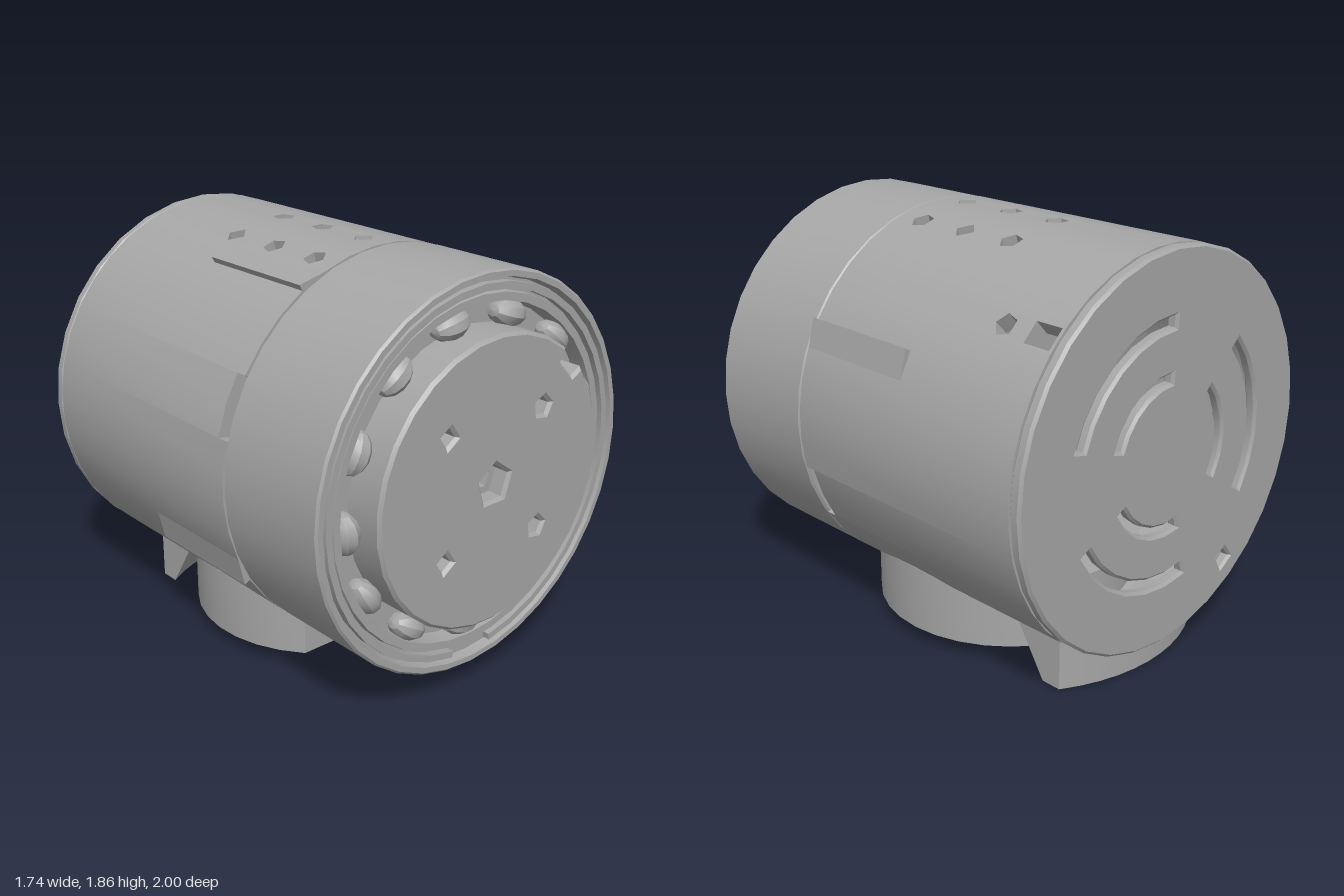
import * as THREE from 'three';
import { toCreasedNormals, mergeGeometries } from 'three/addons/utils/BufferGeometryUtils.js';

const AXIS_Y = 0.99, R = 0.87, DEG = Math.PI / 180;
const polar = (r, deg) => new THREE.Vector2(r * Math.cos(deg * DEG), r * Math.sin(deg * DEG));

// Points along an arc, angles in degrees
function arc(r, from, to, n) {
  return Array.from({ length: n + 1 }, (_, i) => polar(r, from + (to - from) * i / n));
}
// Closed regular polygon around (x, y)
function ngon(x, y, r, sides, start = 90) {
  return arc(r, start, start + 360, sides).slice(0, -1).map(p => p.add(new THREE.Vector2(x, y)));
}
const band = (r0, r1, a, b, n) => [...arc(r1, a, b, n), ...arc(r0, b, a, n)];

function extrude(points, holes, depth, bevel = 0) {
  const shape = new THREE.Shape(points);
  shape.holes = holes.map(h => new THREE.Path(h));
  return new THREE.ExtrudeGeometry(shape, {
    depth: depth - 2 * bevel, bevelEnabled: bevel > 0, bevelSize: bevel,
    bevelThickness: bevel, bevelSegments: 1,
  }).translate(0, 0, bevel);
}

// Drum wall: one flat panel per facet, so that openings can be cut in each
function wallGeometry() {
  const n = 40, step = 360 / n, t = 0.08;
  const flat = R * Math.cos(step / 2 * DEG), half = R * Math.sin(step / 2 * DEG);
  const panels = [];
  for (let i = 0; i < n; i++) {
    const a = i * step, holes = [];
    const front = [153, 162, 333, 342].includes(a) ? 0.28 : 0.33;
    if ([72, 90, 108].includes(a)) {
      [-0.35, -0.08, 0.19].forEach((z, k) => holes.push(ngon(0, z, 0.052, (k + i) % 3 ? 5 : 4)));
    }
    if (a === 252 || a === 288) holes.push(ngon(0, -0.35, 0.06, 6));
    if (a === 45) {
      holes.push(ngon(0, -0.67, 0.052, 5));
      holes.push([[-0.05, -0.93], [0.05, -0.93], [0.05, -0.8], [-0.05, -0.8]].map(p => new THREE.Vector2(...p)));
    }
    const outline = [[-half, -0.945], [half, -0.945], [half, front], [-half, front]];
    const g = extrude(outline.map(p => new THREE.Vector2(...p)), holes, t);
    const pos = g.attributes.position, c = Math.cos(a * DEG), s = Math.sin(a * DEG);
    for (let k = 0; k < pos.count; k++) {
      const rad = flat - t + pos.getZ(k), u = pos.getX(k) * rad / flat;
      pos.setXYZ(k, rad * c - u * s, rad * s + u * c, pos.getY(k));
    }
    panels.push(g);
  }
  return mergeGeometries(panels);
}

// Rear foot: curved lip whose inner face slopes outwards towards the ground
function footGeometry() {
  const n = 10, cz = 0.08;
  const edge = (r, x) => new THREE.Vector2(x, cz + Math.sqrt(r * r - x * x));
  const xs = Array.from({ length: n + 1 }, (_, i) => -0.44 + 0.88 * i / n);
  const g = extrude([...xs.map(x => edge(0.66, x)), ...xs.reverse().map(x => edge(0.86, x))], [], 0.24);
  const p = g.attributes.position;
  for (let i = 0; i < p.count; i++) {
    const x = p.getX(i);
    if (p.getZ(i) < 0.01 && Math.hypot(x, p.getY(i) - cz) < 0.7) p.setY(i, edge(0.78, x).y);
  }
  return g.rotateX(-Math.PI / 2);
}

export function createModel() {
  const model = new THREE.Group();
  model.name = 'bearingHousing';
  const grey = new THREE.MeshStandardMaterial({ color: 0xa6a6a6 });
  grey.name = 'plainGrey';

  const drum = new THREE.Group();
  drum.name = 'drum';
  drum.position.y = AXIS_Y;
  model.add(drum);
  const add = (name, geometry, parent = drum) => {
    const mesh = new THREE.Mesh(toCreasedNormals(geometry, 0.5), grey);
    mesh.name = name;
    parent.add(mesh);
    return mesh;
  };

  add('drumWall', wallGeometry());

  // Rear lid with three pairs of curved vents and a small catch opening
  const vents = [54, 174, 294].flatMap(a => [
    band(0.53, 0.605, a - 38, a + 38, 6), band(0.3, 0.365, a - 38, a + 38, 5)]);
  vents.push(band(0.7, 0.79, 232, 239, 1));
  add('rearLid', extrude(ngon(0, 0, R - 0.012, 32), vents, 0.056, 0.012).translate(0, 0, -1));

  // Inner core behind the front housing
  add('core', new THREE.CylinderGeometry(0.55, 0.55, 0.62, 24).rotateX(Math.PI / 2).translate(0, 0, 0.06));

  // Front housing, a cup turned around the axis
  const cup = [[0, 0.335], [0.86, 0.335], [0.87, 0.345], [0.87, 0.905], [0.86, 0.915], [0.835, 0.915],
    [0.825, 0.87], [0.775, 0.87], [0.77, 0.895], [0.735, 0.895], [0.725, 0.82], [0.66, 0.82], [0, 0.82]];
  add('frontHousing', new THREE.LatheGeometry(cup.map(p => new THREE.Vector2(...p)), 36).rotateX(Math.PI / 2));

  // Open retaining ring with its gap at the bottom
  add('retainingRing', extrude(band(0.785, 0.815, -82, 262, 34), [], 0.045).translate(0, 0, 0.862));

  // Balls in the race
  const balls = new THREE.Group();
  balls.name = 'balls';
  drum.add(balls);
  for (let i = 0; i < 13; i++) {
    const a = 102 + i * 360 / 13, p = polar(0.68, a);
    const ball = add('ball', new THREE.SphereGeometry(1, 9, 7).scale(0.06, 0.092, 0.075), balls);
    ball.position.set(p.x, p.y, 0.85);
    ball.rotation.z = a * DEG;
  }

  // Rotor disc with a rim notch, four bolt holes and a stepped centre bore
  const rim = [...arc(0.62, 52, 397, 28), polar(0.56, 38), polar(0.56, 51)];
  const bolts = [[-1, 1], [1, 1], [-1, -1], [1, -1]].map(([x, y], i) =>
    ngon(x * 0.27, y * 0.27, 0.06, i % 2 ? 5 : 4, 80));
  add('rotorDisc', extrude(rim, [...bolts, ngon(0, 0, 0.105, 5)], 0.2, 0.014).translate(0, 0, 0.8));
  add('boreStep', extrude(ngon(0, 0, 0.11, 5), [ngon(0, 0, 0.05, 5)], 0.1).translate(0, 0, 0.82));

  // Wedge ribs along the drum
  for (const a of [27, 117, 207]) {
    const wedge = [polar(0.855, a - 5), polar(0.868, a - 5), polar(0.9, a + 4), polar(0.855, a + 4)];
    add('wedgeRib', extrude(wedge, [], 0.6).translate(0, 0, -0.27));
  }

  // Mounting base: round pad cut flat at the front, with five holes
  const holes = [[0, 0], [-0.27, 0.27], [0.27, 0.27], [-0.27, -0.27], [0.27, -0.27]]
    .map(([x, y]) => ngon(x, y, 0.058, 6));
  add('mountingBase', extrude(arc(0.61, -42.2, 222.2, 24), holes, 0.3)
    .rotateX(-Math.PI / 2).translate(0, 0.07, -0.08), model);
  add('rearFoot', footGeometry(), model);

  return model;
}
